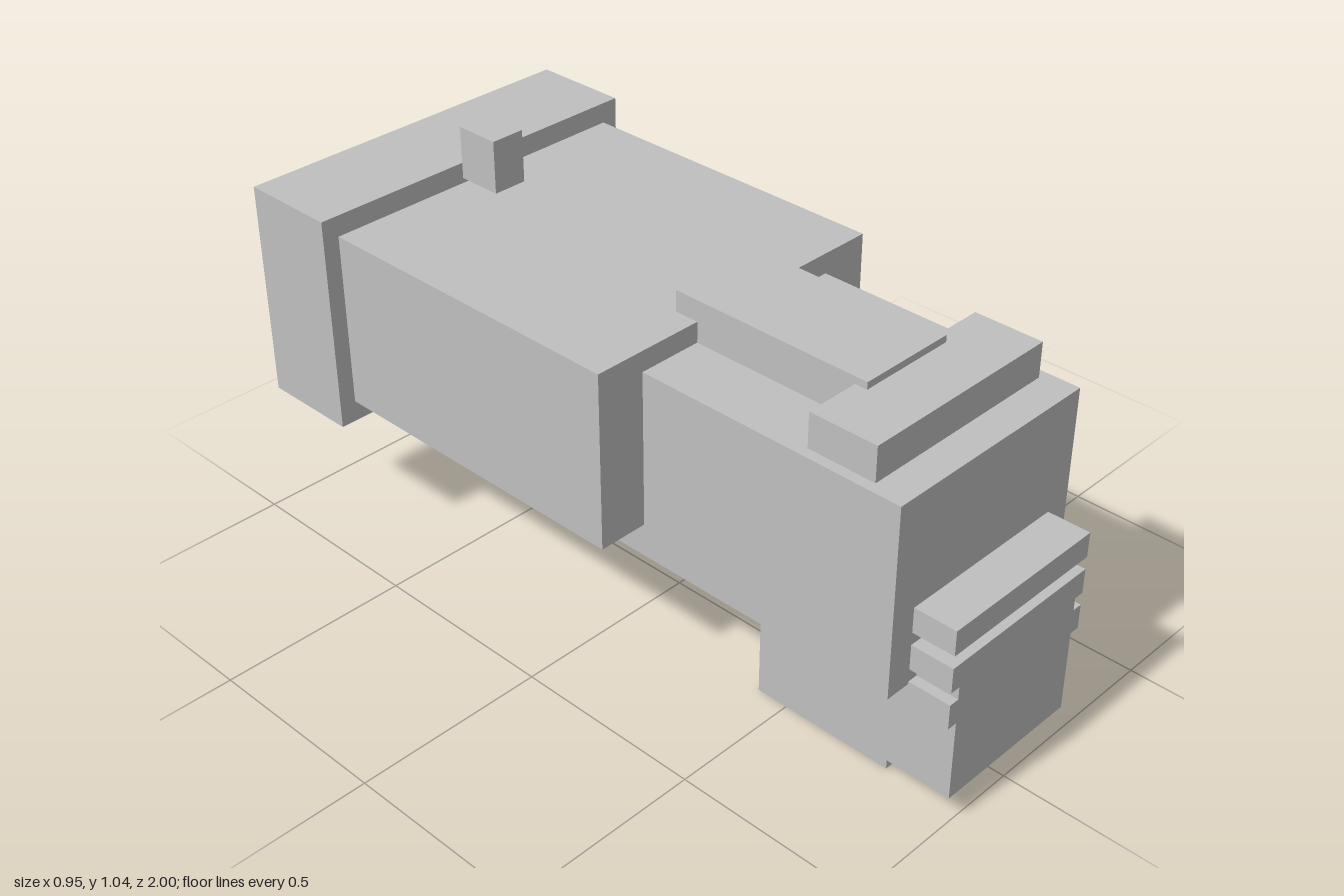
import * as THREE from 'three';

export function createModel() {
  const group = new THREE.Group();
  const grey = new THREE.MeshStandardMaterial({ color: 0xbfbfbf });
  grey.name = 'lightGrey';

  // Box given by its extents along each axis
  function block(name, [x0, x1], [y0, y1], [z0, z1]) {
    const mesh = new THREE.Mesh(new THREE.BoxGeometry(x1 - x0, y1 - y0, z1 - z0), grey);
    mesh.position.set((x0 + x1) / 2, (y0 + y1) / 2, (z0 + z1) / 2);
    mesh.name = name;
    group.add(mesh);
  }
  const wide = (w) => [-w, w];

  // Main housing, stepped wider towards the back
  block('frontBody', wide(0.3), [0.343, 0.834], [-0.173, 0.89]);
  block('rearBody', wide(0.431), [0.43, 0.887], [-0.69, 0.18]);
  block('backPlate', wide(0.475), [0.375, 0.941], [-0.95, -0.69]);

  // Raised pads on the back
  for (const x of [-0.287, -0.002, 0.283])
    block('backPad', [x - 0.088, x + 0.088], [0.54, 0.78], [-1, -0.95]);

  // Top details
  block('topPost', wide(0.046), [0.9, 1.037], [-0.69, -0.57]);
  block('topPanel', wide(0.13), [0.834, 0.941], [0.115, 0.657]);
  block('topFrontBar', wide(0.273), [0.834, 0.923], [0.625, 0.803]);

  // Ribs across the front
  for (const y of [0.481, 0.383, 0.285])
    block('frontRib', wide(0.232), [y, y + 0.065], [0.733, 1]);

  // Lower stem
  block('stem', wide(0.205), [0.072, 0.383], [0.54, 1]);
  block('stemFoot', wide(0.163), [0, 0.343], [0.415, 0.798]);

  return group;
}
